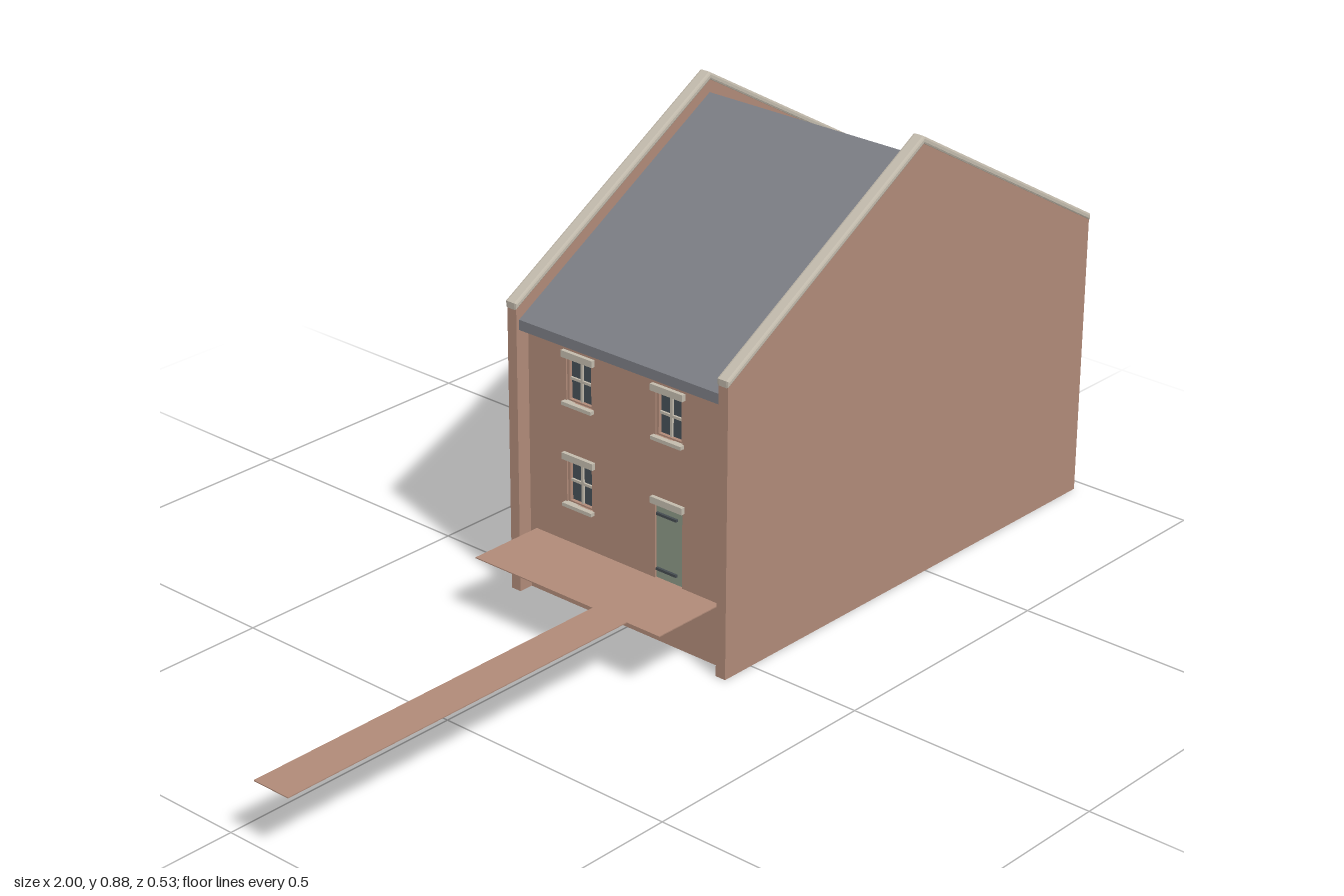
import * as THREE from 'three';

const mat = (name, color) => {
  const m = new THREE.MeshStandardMaterial({ color });
  m.name = name;
  return m;
};

export function createModel() {
  const brick = mat('brick', 0xb08a78);
  const slate = mat('slate', 0x7b7d84);
  const stone = mat('stone', 0xc2baac);
  const green = mat('greenPaint', 0x8a9785);
  const glass = mat('darkGlass', 0x465057);
  const iron = mat('iron', 0x454c50);
  const paving = mat('paving', 0xb08a78);
  paving.side = THREE.DoubleSide;

  const house = new THREE.Group();
  house.name = 'house';

  const add = (parent, name, geometry, material, x = 0, y = 0, z = 0) => {
    const mesh = new THREE.Mesh(geometry, material);
    mesh.name = name;
    mesh.position.set(x, y, z);
    parent.add(mesh);
    return mesh;
  };
  const box = (parent, name, w, h, d, material, x, y, z) =>
    add(parent, name, new THREE.BoxGeometry(w, h, d), material, x, y, z);
  const poly = (pts) => new THREE.Shape(pts.map(([x, y]) => new THREE.Vector2(x, y)));
  const extrude = (shape, depth, extra = {}) =>
    new THREE.ExtrudeGeometry(shape, { depth, bevelEnabled: false, curveSegments: 16, ...extra });

  const MID = 0.45; // x of the ridge
  const WALL = 0.045; // facade thickness

  // Opening outline: rectangle, with an optional arched top
  const outline = (u, y0, w, h, rise = 0) => {
    const s = new THREE.Shape();
    const a = u - w / 2, b = u + w / 2, y1 = y0 + h;
    s.moveTo(a, y0);
    s.lineTo(b, y0);
    s.lineTo(b, y1);
    if (rise) s.quadraticCurveTo(u, y1 + rise * 2, a, y1);
    else s.lineTo(a, y1);
    s.closePath();
    return s;
  };

  // Window: brick surround, dark glass, cross bars, lintel and sill
  const addWindow = (facade, holes, u, y) => {
    const w = 0.064, h = 0.086;
    holes.push(outline(u, y - h / 2, w, h));
    const g = new THREE.Group();
    g.name = 'window';
    g.position.set(u, y, 0);
    facade.add(g);
    const surround = outline(0, -h / 2, w, h);
    surround.holes.push(outline(0, -0.04, 0.053, 0.08));
    add(g, 'windowSurround', extrude(surround, 0.03), brick, 0, 0, -0.033);
    box(g, 'windowGlass', 0.053, 0.08, 0.008, glass, 0, 0, -0.014);
    box(g, 'windowBarUpright', 0.005, 0.08, 0.014, stone, 0, 0, -0.013);
    box(g, 'windowBarCross', 0.053, 0.005, 0.014, stone, 0, 0, -0.013);
    box(g, 'windowLintel', 0.076, 0.013, 0.014, stone, 0, h / 2 + 0.0065, 0.001);
    box(g, 'windowSill', 0.072, 0.007, 0.016, stone, 0, -h / 2 - 0.0035, 0.002);
  };

  // Door: panel in its opening, with strap hinges at the given heights
  const addDoor = (facade, holes, name, u, y0, w, h, rise, strap, sides, heights) => {
    holes.push(outline(u, y0, w, h, rise));
    const g = new THREE.Group();
    g.name = name;
    facade.add(g);
    add(g, name + 'Panel', extrude(outline(u, y0, w, h, rise), WALL - 0.006), green, 0, 0, -WALL + 0.002);
    for (const s of sides)
      for (const y of heights)
        box(g, 'strapHinge', strap, 0.005, 0.006, iron, u + s * (w / 2 - strap / 2 - 0.003), y, -0.002);
  };

  // Each facade is built facing +z, then turned outward
  const addFacade = (name, x, turn, fill) => {
    const facade = new THREE.Group();
    facade.name = name;
    facade.position.x = x;
    facade.rotation.y = turn;
    const holes = [];
    fill(facade, holes);
    const shape = outline(0, 0, 0.48, 0.535);
    shape.holes.push(...holes);
    add(facade, name + 'Wall', extrude(shape, WALL), brick, 0, 0, -WALL);
    house.add(facade);
  };

  // Street side
  addFacade('streetFacade', 0.94, Math.PI / 2, (f, holes) => {
    addWindow(f, holes, -0.18, 0.451);
    addWindow(f, holes, -0.046, 0.451);
    addWindow(f, holes, -0.046, 0.249);
    addDoor(f, holes, 'streetDoor', -0.18, 0.12, 0.065, 0.155, 0, 0.048, [-1], [0.144, 0.254]);
    box(f, 'doorLintel', 0.076, 0.013, 0.014, stone, -0.18, 0.2815, 0.001);
    addDoor(f, holes, 'barnDoor', 0.115, 0.12, 0.203, 0.2, 0.025, 0.06, [-1, 1], [0.15, 0.222, 0.297]);
    addDoor(f, holes, 'loftDoor', 0.115, 0.38, 0.082, 0.095, 0, 0.034, [-1, 1], [0.401, 0.457]);
    box(f, 'loftSill', 0.09, 0.006, 0.016, stone, 0.115, 0.377, 0.002);
    // Hoist beam with hanging hook
    box(f, 'hoistBeam', 0.012, 0.013, 0.065, iron, 0.115, 0.499, 0.0275);
    box(f, 'hoistHook', 0.004, 0.018, 0.004, iron, 0.115, 0.484, 0.047);
  });

  // Terrace side
  addFacade('terraceFacade', -0.04, -Math.PI / 2, (f, holes) => {
    addWindow(f, holes, 0.1, 0.451);
    addWindow(f, holes, -0.115, 0.451);
    addWindow(f, holes, -0.115, 0.249);
    addDoor(f, holes, 'terraceDoor', 0.1, 0.125, 0.065, 0.15, 0, 0.048, [-1], [0.144, 0.254]);
    box(f, 'doorLintel', 0.076, 0.013, 0.014, stone, 0.1, 0.2815, 0.001);
  });

  // Gable walls with chamfered stone coping
  const gable = poly([[-0.07, 0], [0.97, 0], [0.97, 0.57], [MID, 0.868], [-0.07, 0.57]]);
  const coping = poly([
    [-0.069, 0.571], [MID, 0.869], [0.969, 0.571],
    [0.969, 0.577], [MID, 0.875], [-0.069, 0.577],
  ].reverse());
  for (const s of [1, -1]) {
    add(house, 'gableWall', extrude(gable, 0.022), brick, 0, 0, s * 0.251 - 0.011);
    add(house, 'gableCoping', extrude(coping, 0.017, {
      bevelEnabled: true, bevelSize: 0.004, bevelThickness: 0.005, bevelSegments: 2,
    }), stone, 0, 0, s * 0.251 - 0.0085);
  }

  // Pitched roof between the gables
  const roof = poly([
    [-0.063, 0.525], [MID, 0.82], [0.963, 0.525],
    [0.963, 0.545], [MID, 0.84], [-0.063, 0.545],
  ].reverse());
  add(house, 'roof', extrude(roof, 0.48), slate, 0, 0, -0.24);

  // Raised terrace and footbridge
  const slab = (name, x0, x1, z0, z1) =>
    box(house, name, x1 - x0, 0.002, z1 - z0, paving, (x0 + x1) / 2, 0.124, (z0 + z1) / 2);
  slab('terrace', -0.2, -0.04, -0.225, 0.222);
  slab('footbridge', -1, -0.2, 0.064, 0.145);

  return house;
}
